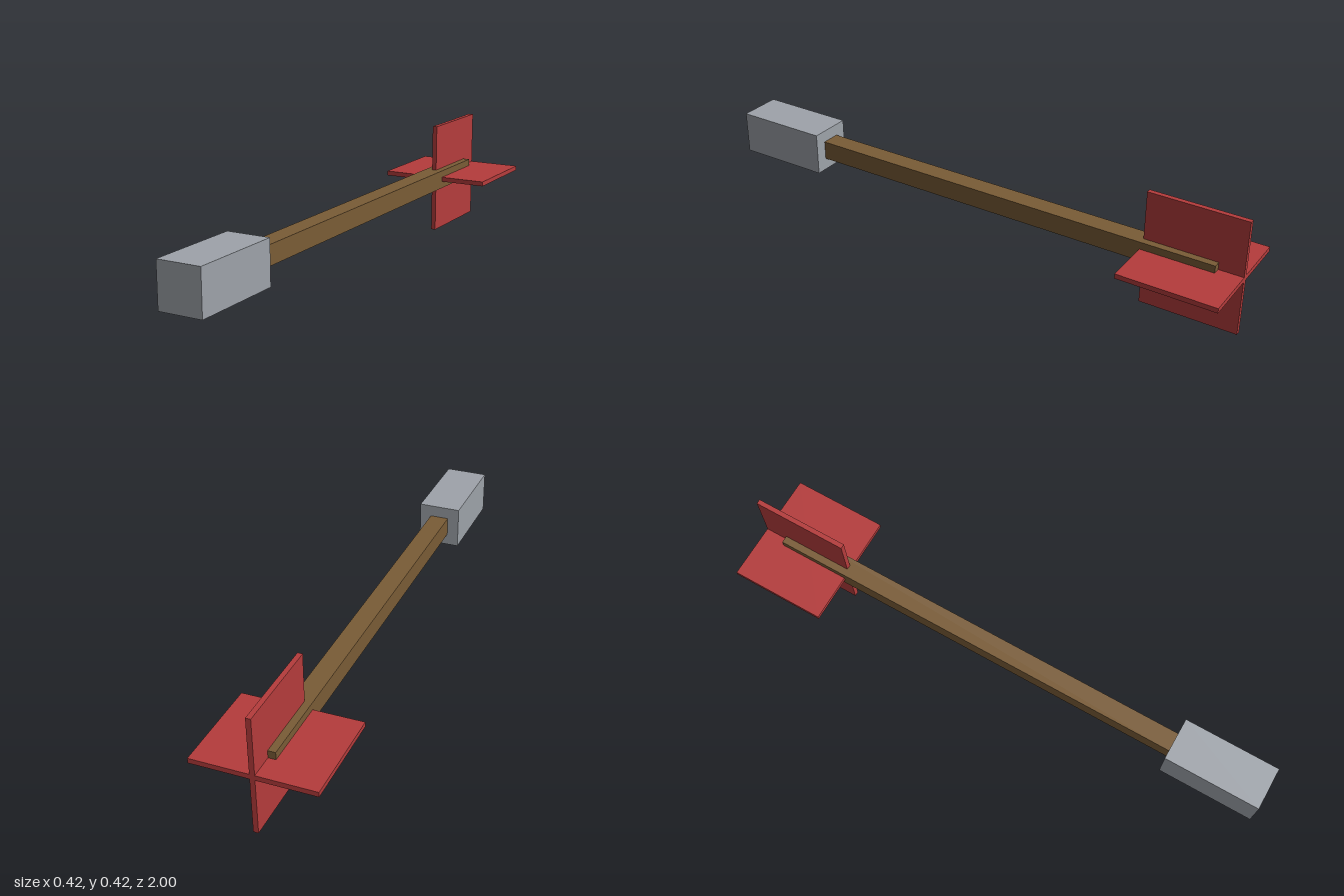
import * as THREE from 'three';

export function createModel() {
  const model = new THREE.Group();
  model.name = 'arrow';

  const material = (name, color) => {
    const m = new THREE.MeshStandardMaterial({ color });
    m.name = name;
    return m;
  };
  const steel = material('steel grey', 0x9ea3aa);
  const wood = material('wood brown', 0x7a5c36);
  const red = material('fin red', 0xb53c3c);

  const axisY = 0.2087; // height of the shaft's centre line

  // Box centred on the shaft's axis, running from zBack to zFront
  const addBox = (name, width, height, zBack, zFront, mat) => {
    const mesh = new THREE.Mesh(new THREE.BoxGeometry(width, height, zFront - zBack), mat);
    mesh.name = name;
    mesh.position.set(0, axisY, (zBack + zFront) / 2);
    model.add(mesh);
  };

  // Square wooden shaft and blunt metal head
  addBox('shaft', 0.0696, 0.0696, -0.913, 0.652, wood);
  addBox('head', 0.1565, 0.1565, 0.652, 1, steel);

  // Crossed tail fins, reaching past the end of the shaft
  addBox('horizontalFin', 0.4174, 0.0174, -1, -0.652, red);
  addBox('verticalFin', 0.0174, 0.4174, -1, -0.652, red);

  return model;
}
